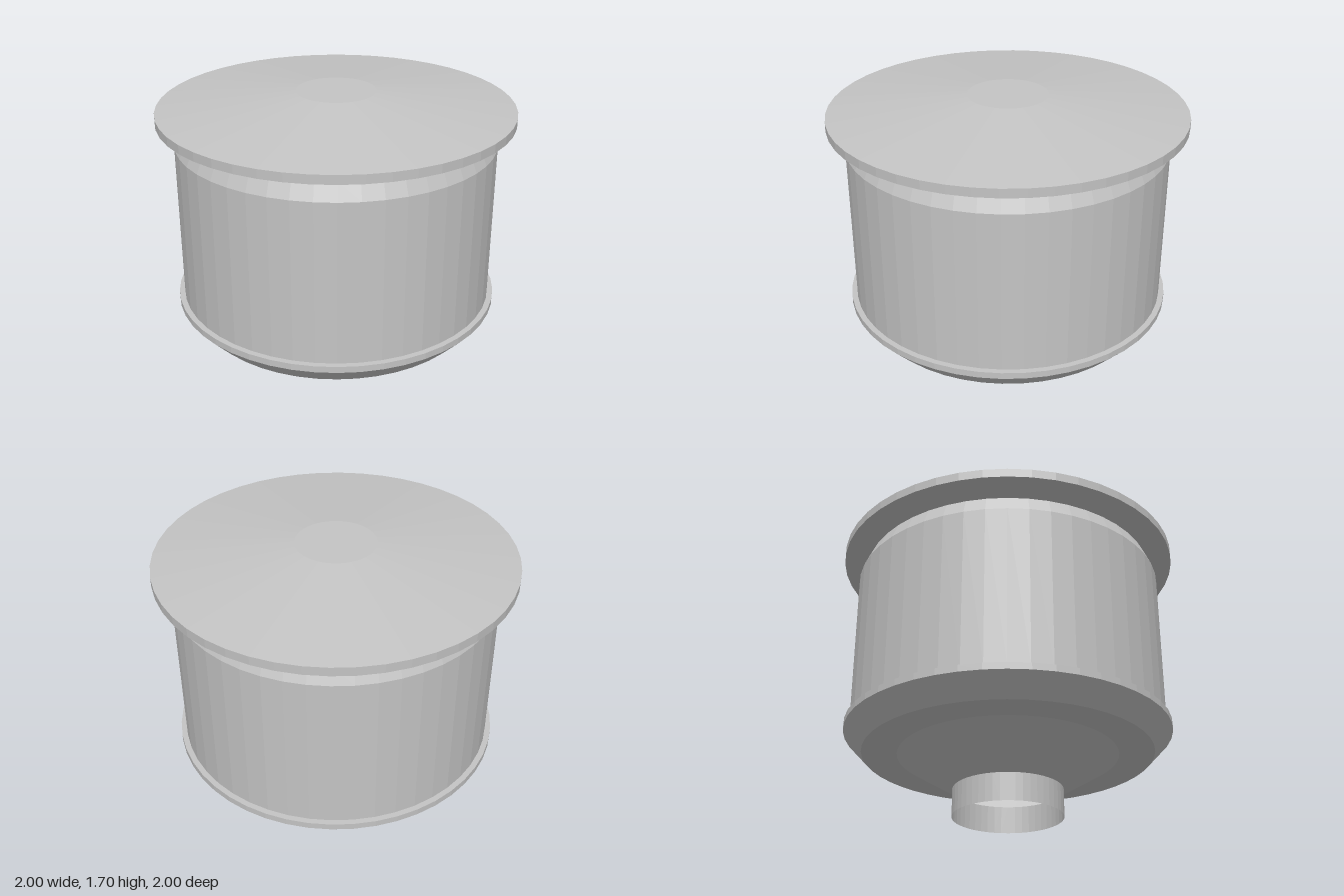
import * as THREE from 'three';

const SIDES = 48;

export function createModel() {
  const group = new THREE.Group();
  const metal = new THREE.MeshStandardMaterial({ color: 0xc4c4c4 });
  metal.name = 'grey metal';
  metal.flatShading = true;
  metal.side = THREE.DoubleSide;

  // Profiles run from bottom to top as [radius, height]
  const turned = (name, profile) => {
    const points = profile.map(([r, y]) => new THREE.Vector2(r, y));
    const mesh = new THREE.Mesh(new THREE.LatheGeometry(points, SIDES), metal);
    mesh.name = name;
    group.add(mesh);
  };

  // Open pipe at the bottom
  turned('outletPipe', [[0.313, 0], [0.313, 0.157]]);
  // Cone widening up to the base ring
  turned('funnel', [[0.313, 0.157], [0.63, 0.35]]);
  // Chamfered ring with a narrow ledge around the body
  turned('baseRing', [[0.63, 0.35], [0.83, 0.35], [0.937, 0.465], [0.937, 0.502], [0.905, 0.502]]);
  // Hollow drum with a tapered shoulder
  turned('body', [[0.905, 0.502], [0.905, 1.425], [0.865, 1.52]]);
  // Overhanging lid, sloping to a small flat centre
  turned('lid', [[0.865, 1.52], [1, 1.56], [1, 1.61], [0.225, 1.697], [0, 1.697]]);

  return group;
}
